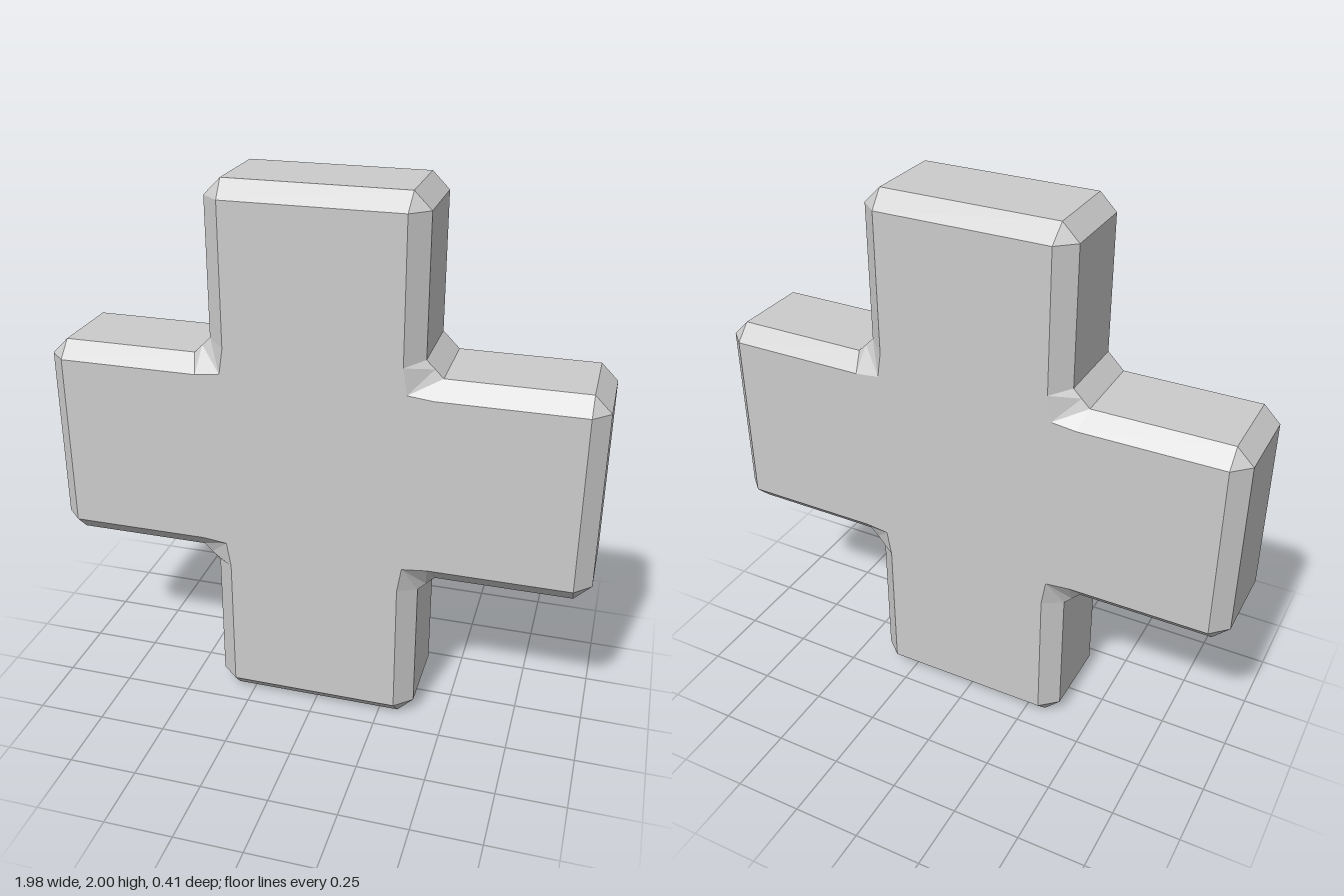
import * as THREE from 'three';

const CENTRE_Y = 1;

// One quadrant, counter-clockwise, relative to the centre of the cross:
// outer outline of the side walls, and the matching outline of the flat face.
const wallQuadrant = [[0.99, 0.325], [0.93, 0.385], [0.44, 0.385], [0.41, 0.415], [0.38, 0.445], [0.38, 0.94], [0.32, 1]];
const faceQuadrant = [[0.93, 0.325], [0.93, 0.325], [0.42, 0.325], [0.33, 0.335], [0.315, 0.43], [0.315, 0.94], [0.315, 0.94]];

// Mirror a quadrant into a full closed outline
function fullOutline(q) {
  const r = [...q].reverse();
  return [
    ...q,
    ...r.map(([x, y]) => [-x, y]),
    ...q.map(([x, y]) => [-x, -y]),
    ...r.map(([x, y]) => [x, -y]),
  ];
}

// Join successive rings (back to front) with flat faces, skipping collapsed ones
function loft(rings) {
  const pos = [];
  const tri = (a, b, c) => {
    if (a.equals(b) || b.equals(c) || c.equals(a)) return;
    for (const p of [a, b, c]) pos.push(p.x, p.y, p.z);
  };
  for (let k = 0; k < rings.length - 1; k++) {
    const a = rings[k], b = rings[k + 1];
    for (let i = 0; i < a.length; i++) {
      const j = (i + 1) % a.length;
      tri(a[i], a[j], b[j]);
      tri(a[i], b[j], b[i]);
    }
  }
  const g = new THREE.BufferGeometry();
  g.setAttribute('position', new THREE.Float32BufferAttribute(pos, 3));
  g.computeVertexNormals();
  return g;
}

export function createModel() {
  const wall = fullOutline(wallQuadrant);
  const face = fullOutline(faceQuadrant);
  const point = wall.map(() => [0, 0]);
  const ring = (outline, z) => outline.map(([x, y]) => new THREE.Vector3(x, y + CENTRE_Y, z));

  // Thick cross with bevelled rims, chamfered tips and softened inner corners
  const cross = new THREE.Mesh(
    loft([
      ring(point, -0.203), ring(face, -0.203), ring(wall, -0.145),
      ring(wall, 0.145), ring(face, 0.203), ring(point, 0.203),
    ]),
    new THREE.MeshStandardMaterial({ color: 0xcccccc, flatShading: true }),
  );
  cross.name = 'bevelledCross';

  const model = new THREE.Group();
  model.name = 'cross';
  model.add(cross);
  return model;
}
